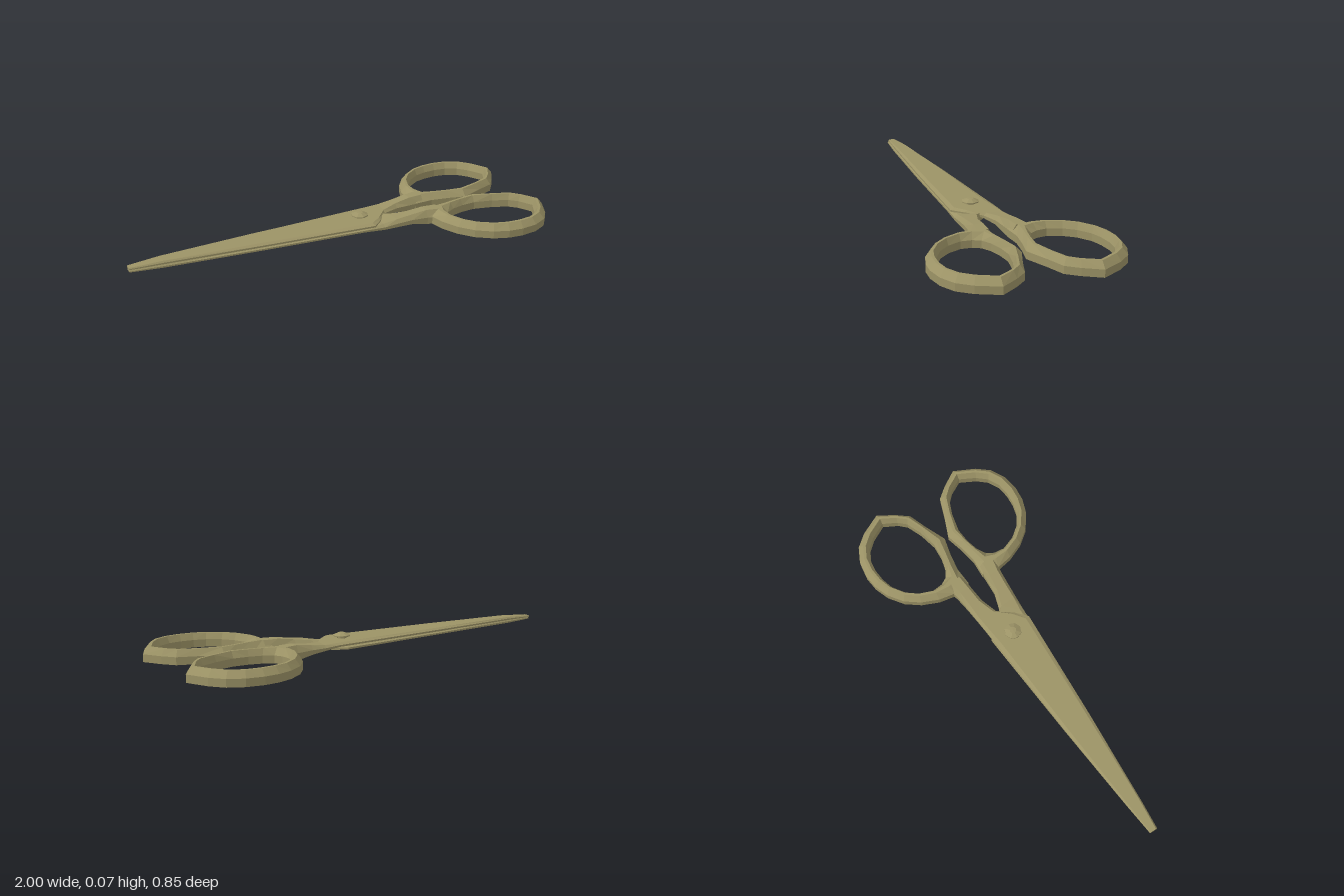
import * as THREE from 'three';

const material = new THREE.MeshStandardMaterial({ color: 0x9c9366, flatShading: true });

// Skin a row of equal-sized cross-section loops; mirrored reverses the winding.
function loft(sections, { closed = false, mirrored = false } = {}) {
  const n = sections[0].length;
  const positions = sections.flat(2);
  const index = [];
  const tri = (a, b, c) => index.push(...(mirrored ? [a, c, b] : [a, b, c]));
  const spans = closed ? sections.length : sections.length - 1;
  for (let i = 0; i < spans; i++) {
    const a = i * n, b = ((i + 1) % sections.length) * n;
    for (let j = 0; j < n; j++) {
      const k = (j + 1) % n;
      tri(a + j, a + k, b + k);
      tri(a + j, b + k, b + j);
    }
  }
  if (!closed) {
    const e = (sections.length - 1) * n;
    for (let j = 1; j < n - 1; j++) {
      tri(0, j + 1, j);
      tri(e, e + j, e + j + 1);
    }
  }
  const indexed = new THREE.BufferGeometry();
  indexed.setAttribute('position', new THREE.Float32BufferAttribute(positions, 3));
  indexed.setIndex(index);
  const geometry = indexed.toNonIndexed();
  geometry.computeVertexNormals();
  return geometry;
}

function addMesh(parent, name, geometry) {
  const mesh = new THREE.Mesh(geometry, material);
  mesh.name = name;
  parent.add(mesh);
  return mesh;
}

// Bevelled loop between an outer and an inner [x, z] edge; o and i are the top insets (0..1).
function section(outer, inner, yb, ym, yt, o, i, side) {
  const at = (t, y) => [
    outer[0] + (inner[0] - outer[0]) * t,
    y,
    side * (outer[1] + (inner[1] - outer[1]) * t),
  ];
  return [at(0, yb), at(0, ym), at(o, yt), at(i, yt), at(1, ym), at(1, yb)];
}

// Finger ring outlines as [x, z], matched point for point
const ringOuter = [
  [0.44, -0.12], [0.455, -0.2], [0.49, -0.28], [0.54, -0.345], [0.61, -0.395], [0.68, -0.42],
  [0.75, -0.427], [0.83, -0.415], [0.9, -0.38], [0.95, -0.32], [1, -0.22], [0.95, -0.14],
  [0.905, -0.085], [0.82, -0.055], [0.71, -0.01], [0.63, -0.03], [0.54, -0.045], [0.45, -0.04],
];
const ringInner = [
  [0.515, -0.15], [0.51, -0.2], [0.535, -0.265], [0.575, -0.315], [0.635, -0.355], [0.69, -0.37],
  [0.75, -0.375], [0.81, -0.368], [0.865, -0.34], [0.905, -0.295], [0.945, -0.22], [0.91, -0.155],
  [0.875, -0.12], [0.8, -0.09], [0.71, -0.07], [0.64, -0.075], [0.58, -0.09], [0.535, -0.115],
];

// Blade and shank stations: outer x, z; inner x, z; inset of the top bevels
const armEdges = [
  [-1, -0.02, -1, 0.015, 0.1],
  [-0.85, -0.035, -0.85, 0.032, 0.1],
  [-0.4, -0.07, -0.4, 0.068, 0.1],
  [0.1, -0.1, 0.15, 0.105, 0.1],
  [0.2, -0.106, 0.2, 0.06, 0.1],
  [0.27, -0.11, 0.26, -0.01, 0.14],
  [0.34, -0.115, 0.34, -0.035, 0.2],
  [0.42, -0.122, 0.42, -0.042, 0.22],
  [0.49, -0.14, 0.49, -0.044, 0.22],
];
// Bottom and top heights at each station
const upperHeights = [
  [0.027, 0.036], [0.03, 0.044], [0.03, 0.046], [0.03, 0.046], [0.03, 0.046],
  [0.022, 0.046], [0.015, 0.054], [0, 0.065], [0, 0.065],
];
const lowerHeights = [
  [0.018, 0.027], [0.015, 0.03], [0.015, 0.03], [0.013, 0.03], [0.008, 0.032],
  [0.01, 0.045], [0.012, 0.054], [0, 0.065], [0, 0.065],
];

function makeHalf(name, side, heights) {
  const half = new THREE.Group();
  half.name = name;
  const mirrored = side < 0;
  const arm = armEdges.map(([xo, zo, xi, zi, inset], k) => {
    const [yb, yt] = heights[k];
    return section([xo, zo], [xi, zi], yb, yb + (yt - yb) * 0.5, yt, inset, 1 - inset, side);
  });
  addMesh(half, 'bladeAndShank', loft(arm, { mirrored }));
  const ring = ringOuter.map((p, k) => section(p, ringInner[k], 0, 0.035, 0.065, 0.48, 0.72, side));
  addMesh(half, 'fingerRing', loft(ring, { closed: true, mirrored }));
  return half;
}

export function createModel() {
  const model = new THREE.Group();
  model.name = 'scissors';
  model.add(makeHalf('upperHalf', 1, upperHeights));
  model.add(makeHalf('lowerHalf', -1, lowerHeights));

  // Pivot rivet with a shallow domed head
  const profile = [[0, 0.02], [0.022, 0.02], [0.022, 0.05], [0.04, 0.055], [0.04, 0.06], [0.016, 0.071], [0, 0.072]];
  const rivet = addMesh(model, 'pivotRivet',
    new THREE.LatheGeometry(profile.map(([r, y]) => new THREE.Vector2(r, y)), 8));
  rivet.position.set(0.122, 0, -0.003);
  return model;
}
